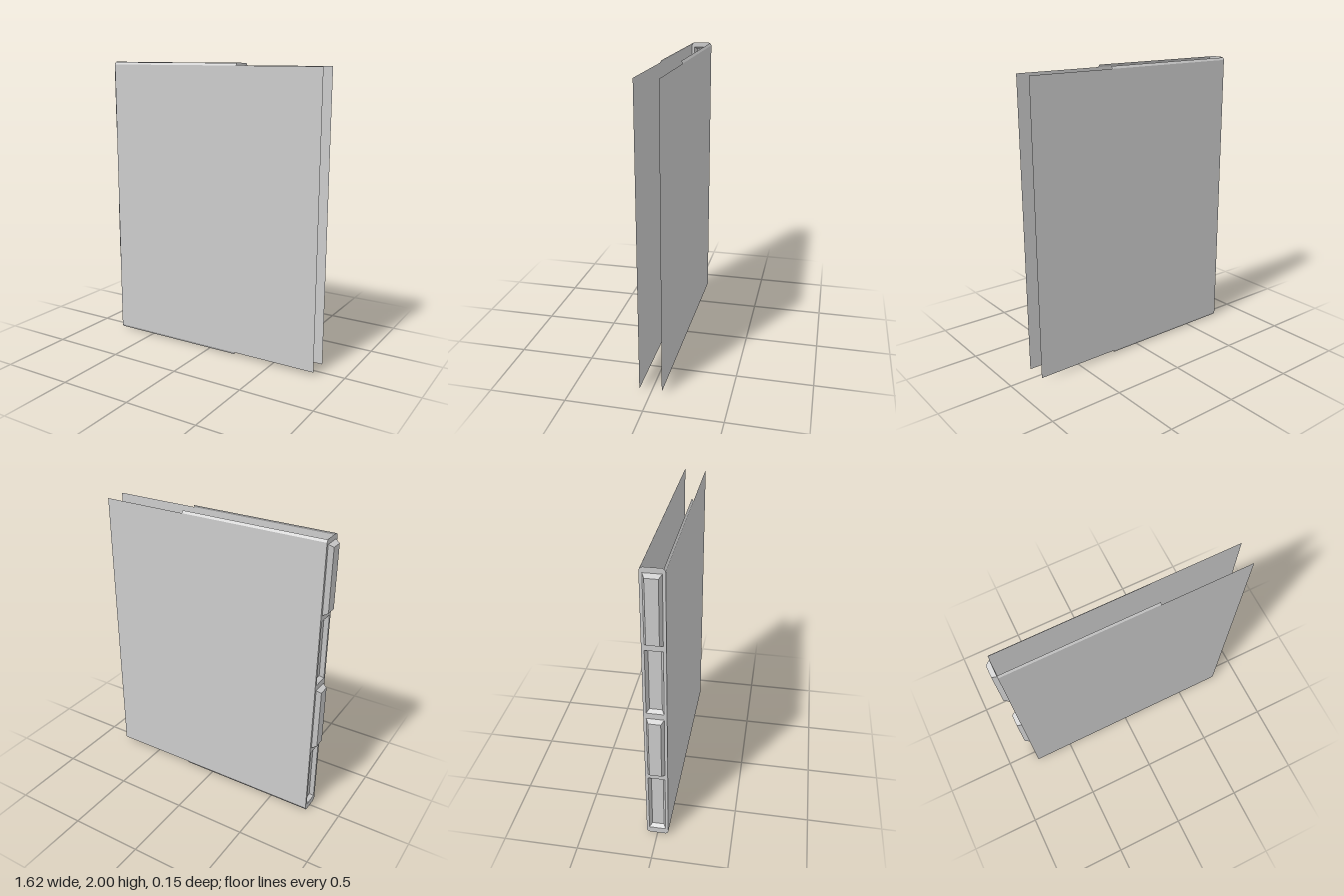
import * as THREE from 'three';

const SPINE_X = -0.78, HALF_Z = 0.073;
const material = new THREE.MeshStandardMaterial({ color: 0xcccccc, flatShading: true, side: THREE.DoubleSide });

function add(group, name, geometry) {
  const mesh = new THREE.Mesh(geometry, material);
  mesh.name = name;
  group.add(mesh);
  return mesh;
}

// Surface made of separate four-cornered faces
function quads(faces) {
  const points = faces.flatMap(([a, b, c, d]) => [a, b, c, a, c, d]).flat();
  const geometry = new THREE.BufferGeometry();
  geometry.setAttribute('position', new THREE.Float32BufferAttribute(points, 3));
  geometry.computeVertexNormals();
  return geometry;
}

// Corners of a rectangle lying across the spine at a given x
const ring = (x, y0, y1, z) => [[x, y0, -z], [x, y0, z], [x, y1, z], [x, y1, -z]];

export function createModel() {
  const model = new THREE.Group();

  // Spine plate: rounded ends and four rectangular openings
  const r = 0.025;
  const outline = new THREE.Shape();
  outline.moveTo(-HALF_Z, r);
  outline.absarc(-HALF_Z + r, r, r, Math.PI, Math.PI * 1.5);
  outline.absarc(HALF_Z - r, r, r, -Math.PI / 2, 0);
  outline.absarc(HALF_Z - r, 2 - r, r, 0, Math.PI / 2);
  outline.absarc(-HALF_Z + r, 2 - r, r, Math.PI / 2, Math.PI);
  outline.closePath();

  const w = 0.055, inset = 0.016;
  for (let i = 0; i < 4; i++) {
    const y0 = 0.045 + i * 0.49, y1 = y0 + 0.45;
    const hole = new THREE.Path();
    hole.moveTo(-w, y0);
    hole.lineTo(-w, y1);
    hole.lineTo(w, y1);
    hole.lineTo(w, y0);
    hole.closePath();
    outline.holes.push(hole);

    // Bevelled panels, alternately sunk into and raised from the spine
    const raised = i % 2 === 1;
    const base = ring(SPINE_X, y0, y1, w);
    const tip = ring(SPINE_X + (raised ? -0.031 : 0.027), y0 + inset, y1 - inset, w - inset);
    const faces = base.map((p, k) => {
      const n = (k + 1) % 4;
      return raised ? [p, base[n], tip[n], tip[k]] : [p, tip[k], tip[n], base[n]];
    });
    faces.push(tip);
    add(model, raised ? 'raisedSpinePanel' : 'sunkenSpinePanel', quads(faces));
  }
  const spine = new THREE.ShapeGeometry(outline, 6);
  spine.rotateY(-Math.PI / 2);
  spine.translate(SPINE_X, 0, 0);
  add(model, 'spinePlate', spine);

  // Front and back covers, each with slanted lips along part of the top and bottom
  const low = 0.022, high = 1.98, lipEnd = 0.212, lipZ = HALF_Z - 0.01;
  for (const s of [1, -1]) {
    const side = s > 0 ? 'front' : 'back';
    const cover = new THREE.PlaneGeometry(0.81 - SPINE_X, high - low);
    if (s < 0) cover.rotateY(Math.PI);
    cover.translate((0.81 + SPINE_X) / 2, (high + low) / 2, s * HALF_Z);
    add(model, side + 'Cover', cover);

    for (const [edge, yIn, yOut] of [['Top', high, 1.996], ['Bottom', low, 0.005]]) {
      const face = [
        [SPINE_X, yIn, s * HALF_Z], [lipEnd, yIn, s * HALF_Z],
        [lipEnd, yOut, s * lipZ], [SPINE_X, yOut, s * lipZ],
      ];
      if ((edge === 'Top') !== (s > 0)) face.reverse();
      add(model, side + edge + 'Lip', quads([face]));
    }
  }
  return model;
}
